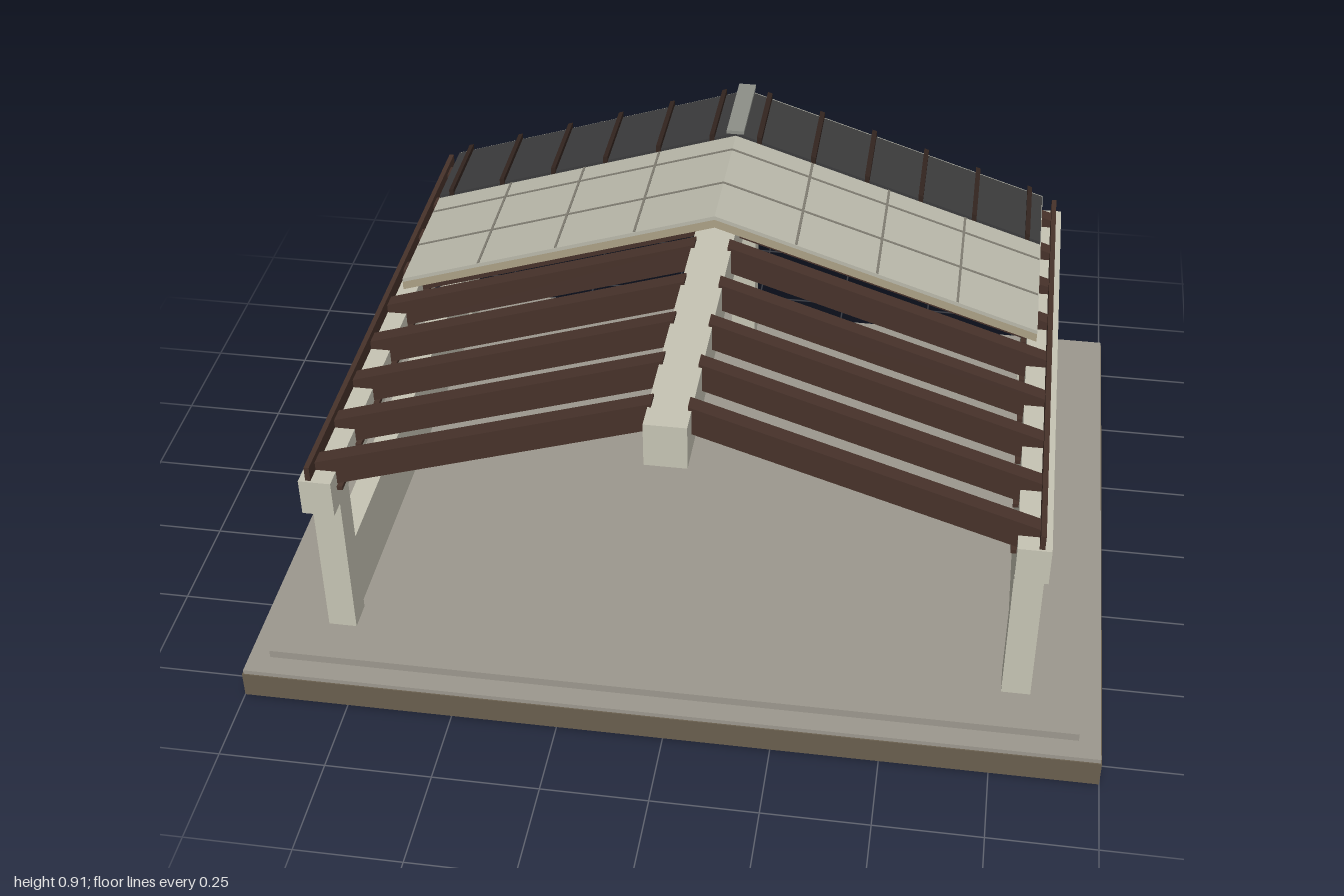
import * as THREE from 'three';

const mat = (name, color) => Object.assign(new THREE.MeshStandardMaterial({ color }), { name });

export function createModel() {
  const root = new THREE.Group();
  root.name = 'openPavilion';
  const earth = mat('earth brown', 0x6a5f4e);
  const concrete = mat('concrete grey', 0x9c988e);
  const cream = mat('cream timber', 0xc6c4b4);
  const brown = mat('dark brown timber', 0x47322a);
  const tan = mat('tan decking', 0xaca186);
  const panel = mat('pale panel', 0xbab9ab);
  const seam = mat('seam grey', 0x807d72);
  const metal = mat('charcoal roofing', 0x3b3b3c);
  const rib = mat('rib brown', 0x33251f);
  const cap = mat('cap grey', 0x8d8f88);

  // Box given by its limits on each axis
  function box(name, m, [x0, x1], [y0, y1], [z0, z1]) {
    const mesh = new THREE.Mesh(new THREE.BoxGeometry(x1 - x0, y1 - y0, z1 - z0), m);
    mesh.position.set((x0 + x1) / 2, (y0 + y1) / 2, (z0 + z1) / 2);
    mesh.name = name;
    root.add(mesh);
  }
  // Box mirrored to the chosen side
  function sideBox(s, name, m, [x0, x1], y, z) {
    box(name, m, s > 0 ? [x0, x1] : [-x1, -x0], y, z);
  }
  // Slab following the roof pitch, lifted above the rafter tops
  const roofY = (x) => 0.86 - 0.325 * x;
  function slope(s, name, m, [x0, x1], [low, high], [z0, z1]) {
    const shape = new THREE.Shape([
      new THREE.Vector2(s * x0, roofY(x0) + low),
      new THREE.Vector2(s * x1, roofY(x1) + low),
      new THREE.Vector2(s * x1, roofY(x1) + high),
      new THREE.Vector2(s * x0, roofY(x0) + high),
    ]);
    const mesh = new THREE.Mesh(
      new THREE.ExtrudeGeometry(shape, { depth: z1 - z0, bevelEnabled: false }), m);
    mesh.position.z = z0;
    mesh.name = name;
    root.add(mesh);
  }

  // Ground and floor slab
  box('groundBlock', earth, [-1, 1], [0, 0.065], [-0.807, 0.807]);
  box('groundTop', concrete, [-0.997, 0.997], [0.065, 0.076], [-0.804, 0.804]);
  box('floorSlab', concrete, [-0.947, 0.947], [0.076, 0.096], [-0.752, 0.752]);

  // Ridge beam and its rear post
  box('ridgeBeam', cream, [-0.048, 0.048], [0.728, 0.838], [-0.704, 0.704]);
  box('ridgePost', cream, [-0.032, 0.032], [0.096, 0.73], [-0.675, -0.61]);

  for (const s of [-1, 1]) {
    // Side frame: posts, low wall, eave beam and fascia
    for (const z of [-0.606, 0.606])
      sideBox(s, 'cornerPost', cream, [0.766, 0.833], [0.096, 0.48], [z - 0.035, z + 0.035]);
    sideBox(s, 'lowWall', cream, [0.775, 0.829], [0.096, 0.297], [-0.714, 0.56]);
    sideBox(s, 'eaveBeam', cream, [0.765, 0.84], [0.482, 0.575], [-0.688, 0.688]);
    sideBox(s, 'fascia', brown, [0.812, 0.824], [0.575, 0.612], [-0.683, 0.683]);

    // Rafters with small brackets at the eave
    for (let i = -4; i <= 4; i++) {
      const z = i * 0.156;
      slope(s, 'rafter', brown, [0.04, 0.814], [-0.07, 0], [z - 0.019, z + 0.019]);
      sideBox(s, 'rafterBracket', brown, [0.752, 0.766], [0.528, 0.538], [z - 0.026, z + 0.026]);
    }

    // Decking and panels over the rear half
    slope(s, 'roofDeck', tan, [0, 0.786], [0, 0.022], [-0.658, -0.043]);
    slope(s, 'roofPanels', panel, [0, 0.786], [0.022, 0.032], [-0.658, -0.043]);
    for (let k = 1; k < 4; k++) {
      const x = k * 0.1965;
      slope(s, 'panelSeam', seam, [x - 0.003, x + 0.003], [0.031, 0.034], [-0.656, -0.045]);
    }
    for (const z of [-0.196, -0.354])
      slope(s, 'panelSeam', seam, [0, 0.784], [0.031, 0.034], [z - 0.003, z + 0.003]);

    // Metal roofing with standing ribs
    slope(s, 'metalSheet', metal, [0, 0.784], [0.032, 0.04], [-0.642, -0.423]);
    for (let k = 0; k < 6; k++) {
      const x = 0.06 + k * 0.138;
      slope(s, 'metalRib', rib, [x - 0.006, x + 0.006], [0.036, 0.054], [-0.648, -0.417]);
    }
  }

  // Ridge cap
  box('ridgeCap', cap, [-0.022, 0.022], [0.904, 0.913], [-0.652, -0.41]);
  return root;
}
